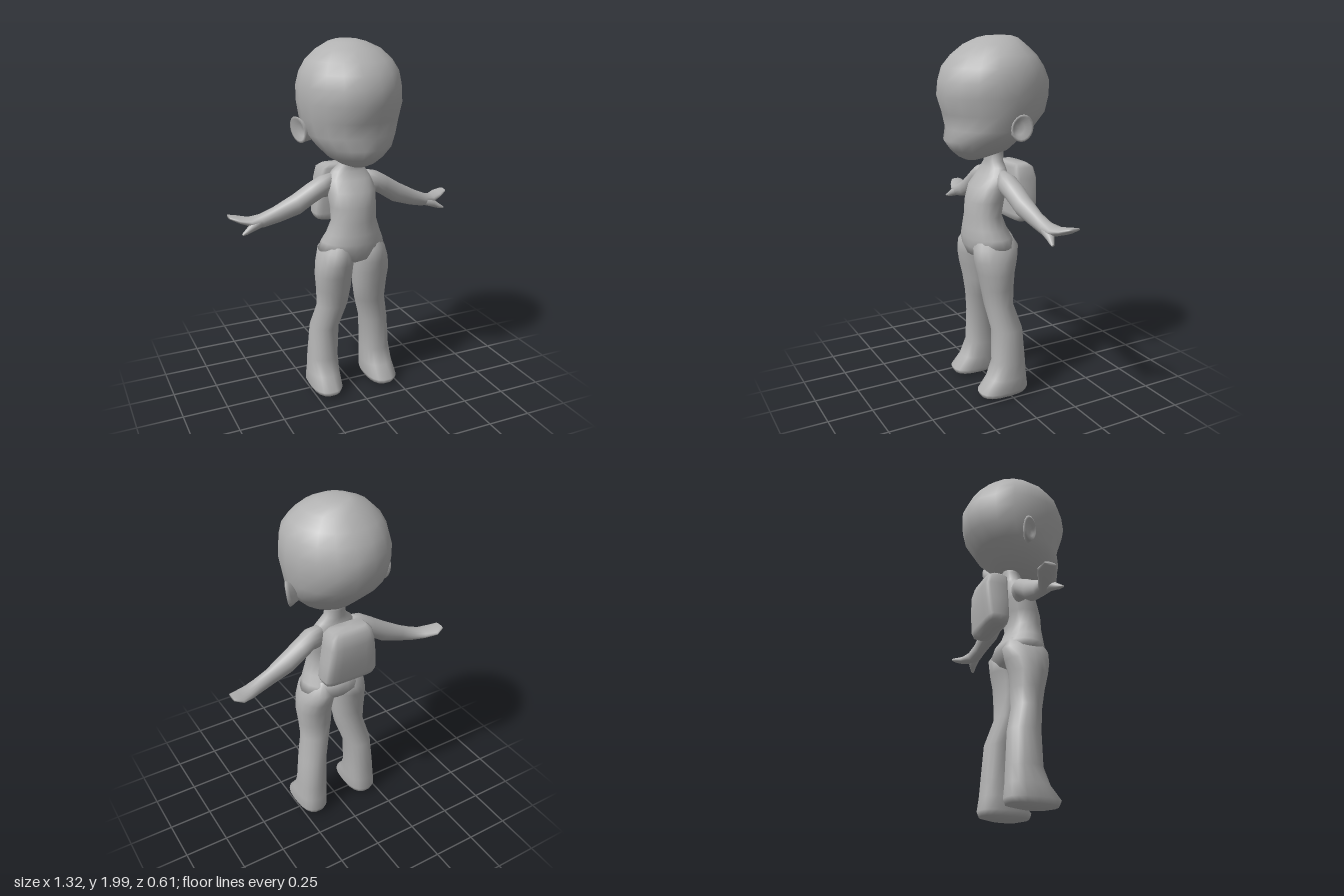
import * as THREE from 'three';

const SEG = 18;

// Skin a chain of rings. Each ring: c centre, u and v half axes, n roundness (2 = ellipse, more = boxier).
// u x v points along the chain; side = -1 mirrors the part across x = 0.
function loft(rings, side = 1) {
  const pos = [], idx = [];
  const pow = (t, n) => Math.sign(t) * Math.abs(t) ** (2 / n);
  for (const { c, u, v, n = 2 } of rings) {
    for (let i = 0; i < SEG; i++) {
      const a = (i / SEG) * Math.PI * 2;
      const p = pow(Math.cos(a), n), q = pow(Math.sin(a), n);
      const [x, y, z] = c.map((k, j) => k + u[j] * p + v[j] * q);
      pos.push(x * side, y, z);
    }
  }
  const tri = (a, b, c) => (side > 0 ? idx.push(a, b, c) : idx.push(a, c, b));
  const last = (rings.length - 1) * SEG;
  for (let r = 0; r < last; r += SEG) {
    for (let i = 0; i < SEG; i++) {
      const j = (i + 1) % SEG;
      tri(r + i, r + j, r + SEG + j);
      tri(r + i, r + SEG + j, r + SEG + i);
    }
  }
  // end caps
  const start = pos.length / 3;
  for (const ring of [rings[0], rings.at(-1)]) pos.push(ring.c[0] * side, ring.c[1], ring.c[2]);
  for (let i = 0; i < SEG; i++) {
    const j = (i + 1) % SEG;
    tri(start, j, i);
    tri(start + 1, last + i, last + j);
  }
  const g = new THREE.BufferGeometry();
  g.setAttribute('position', new THREE.Float32BufferAttribute(pos, 3));
  g.setIndex(idx);
  g.computeVertexNormals();
  return g;
}

// Level ring from its outer and inner x, front and back z
const level = (y, xo, xi, zf, zb, n) => ({
  c: [(xo + xi) / 2, y, (zf + zb) / 2],
  u: [(xo - xi) / 2, 0, 0],
  v: [0, 0, (zb - zf) / 2],
  n,
});
// Level ring centred on x = 0
const centred = ([y, rx, zf, zb, n]) => level(y, rx, -rx, zf, zb, n);
// Upright ring of a limb running sideways, from its top and bottom points
const upright = ([xt, yt, xb, yb, zf, zb]) => ({
  c: [(xt + xb) / 2, (yt + yb) / 2, (zf + zb) / 2],
  u: [(xt - xb) / 2, (yt - yb) / 2, 0],
  v: [0, 0, (zf - zb) / 2],
});

export function createModel() {
  const model = new THREE.Group();
  model.name = 'figure';
  const grey = new THREE.MeshStandardMaterial({ color: 0xb2b2b2 });
  grey.name = 'plain grey';
  const add = (name, geometry) => {
    const mesh = new THREE.Mesh(geometry, grey);
    mesh.name = name;
    model.add(mesh);
  };

  // Head: y, half width, front z, back z, roundness
  add('head', loft([
    [1.353, 0.04, 0.165, 0.10],
    [1.37, 0.09, 0.20, 0.04],
    [1.405, 0.15, 0.24, -0.08],
    [1.46, 0.205, 0.28, -0.145, 1.9],
    [1.52, 0.243, 0.257, -0.21, 2.1],
    [1.60, 0.266, 0.28, -0.285],
    [1.69, 0.28, 0.31, -0.308],
    [1.77, 0.279, 0.30, -0.308],
    [1.84, 0.264, 0.277, -0.277],
    [1.90, 0.23, 0.225, -0.235],
    [1.955, 0.17, 0.155, -0.175],
    [1.988, 0.10, 0.085, -0.14],
    [2.0, 0.055, 0.03, -0.10],
  ].map(centred)));

  // Neck, chest, waist and pelvis
  add('torso', loft([
    [0.785, 0.04, 0.08, 0.0],
    [0.82, 0.12, 0.15, -0.07],
    [0.87, 0.195, 0.168, -0.11],
    [0.92, 0.178, 0.173, -0.095],
    [0.97, 0.155, 0.168, -0.06],
    [1.04, 0.13, 0.16, -0.035],
    [1.12, 0.132, 0.155, -0.05],
    [1.20, 0.14, 0.13, -0.07],
    [1.26, 0.13, 0.075, -0.07],
    [1.305, 0.10, 0.05, -0.06],
    [1.335, 0.065, 0.045, -0.055],
    [1.38, 0.058, 0.045, -0.06],
    [1.43, 0.058, 0.045, -0.06],
  ].map(centred)));

  // Backpack, wider at the bottom
  add('backpack', loft([
    [0.997, 0.12, -0.10, -0.165, 4],
    [1.01, 0.15, -0.08, -0.19, 5],
    [1.04, 0.163, -0.075, -0.20, 5],
    [1.14, 0.152, -0.075, -0.212, 5],
    [1.24, 0.138, -0.075, -0.217, 5],
    [1.30, 0.128, -0.075, -0.20, 5],
    [1.32, 0.105, -0.085, -0.175, 4],
  ].map(centred)));

  for (const [label, side] of [['left', 1], ['right', -1]]) {
    // Leg and foot: y, outer x, inner x, front z, back z
    add(label + 'Leg', loft([
      [0.006, 0.21, 0.14, 0.10, -0.05],
      [0.022, 0.25, 0.095, 0.165, -0.11, 2.6],
      [0.05, 0.265, 0.083, 0.177, -0.12, 2.6],
      [0.12, 0.258, 0.082, 0.12, -0.112, 2.4],
      [0.21, 0.252, 0.08, 0.085, -0.107, 2.2],
      [0.40, 0.238, 0.072, 0.085, -0.096],
      [0.54, 0.206, 0.028, 0.108, -0.055],
      [0.64, 0.212, 0.012, 0.125, -0.058],
      [0.73, 0.22, 0.006, 0.146, -0.064],
      [0.80, 0.212, 0.0, 0.162, -0.085],
      [0.87, 0.192, 0.0, 0.165, -0.10],
      [0.94, 0.14, 0.03, 0.13, -0.06],
    ].map((r) => level(...r)), side));

    // Arm and mitten hand: top x y, bottom x y, front z, back z
    add(label + 'Arm', loft([
      [0.08, 1.30, 0.11, 1.16, 0.03, -0.05],
      [0.165, 1.282, 0.155, 1.165, 0.05, -0.068],
      [0.235, 1.243, 0.20, 1.138, 0.04, -0.075],
      [0.32, 1.19, 0.285, 1.082, 0.03, -0.075],
      [0.43, 1.132, 0.40, 1.045, 0.005, -0.07],
      [0.505, 1.10, 0.485, 1.026, 0.0, -0.082],
      [0.56, 1.085, 0.55, 1.032, -0.008, -0.11],
      [0.615, 1.09, 0.615, 1.055, -0.032, -0.143],
      [0.662, 1.10, 0.662, 1.08, -0.06, -0.128],
    ].map(upright), side));

    // Thumb
    add(label + 'Thumb', loft([
      [0.51, 1.085, 0.50, 1.03, 0.0, -0.06],
      [0.56, 1.06, 0.55, 1.015, 0.0, -0.05],
      [0.59, 1.035, 0.585, 1.005, 0.002, -0.03],
      [0.615, 1.016, 0.612, 1.004, 0.004, -0.012],
    ].map(upright), side));

    // Ear: root, flared rim, then back into the hollow
    const ear = (x, y, z, s) => ({
      c: [x, y, z],
      u: [0.012 * s, 0.072 * s, 0],
      v: [-0.025 * s, 0, 0.05 * s],
    });
    add(label + 'Ear', loft([
      ear(0.225, 1.53, -0.01, 0.6),
      ear(0.265, 1.54, -0.02, 0.88),
      ear(0.284, 1.543, -0.02, 1),
      ear(0.288, 1.543, -0.017, 0.82),
      ear(0.268, 1.543, -0.01, 0.5),
    ], side));
  }
  return model;
}
